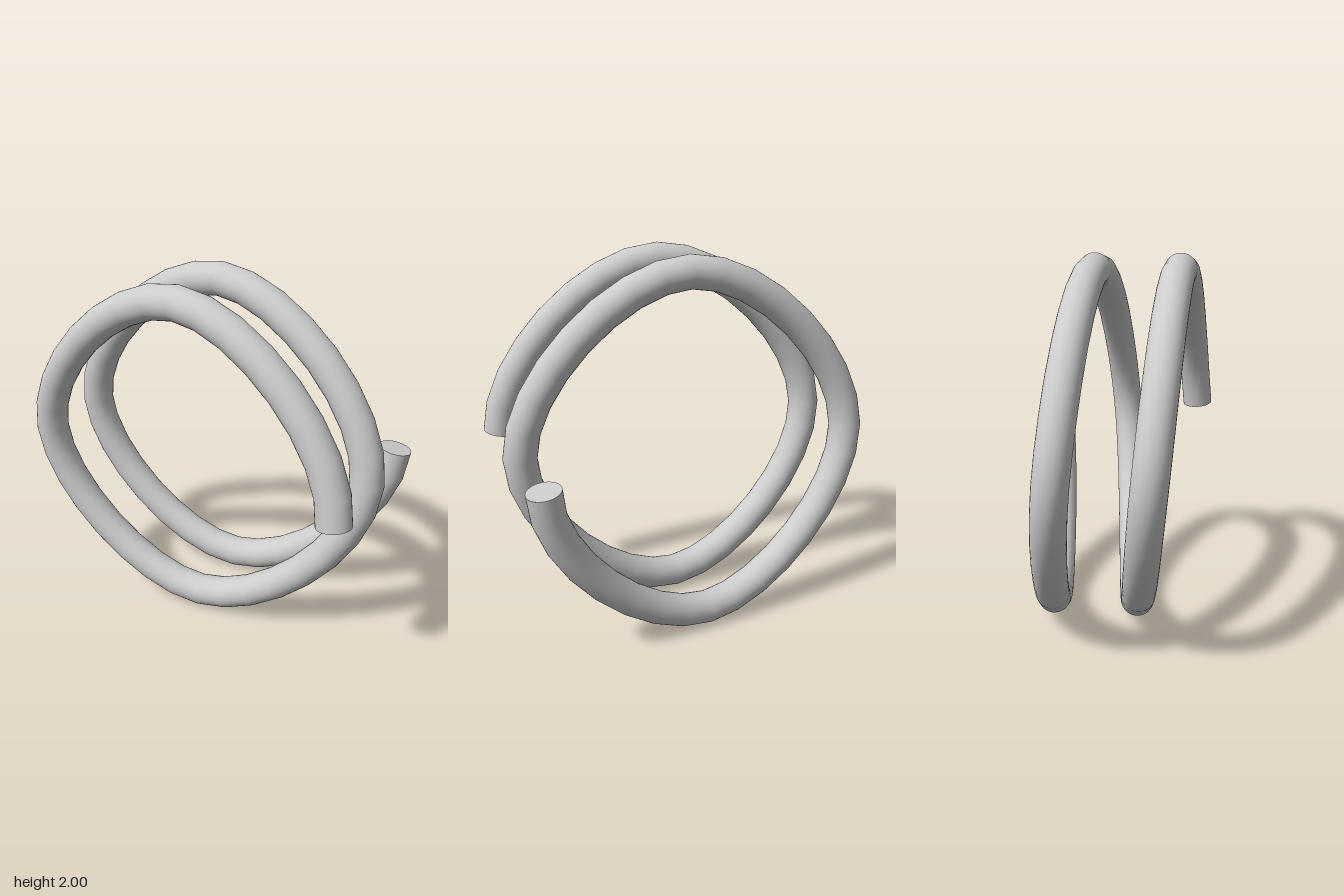
import * as THREE from 'three';

const RADIUS = 0.911, WIRE = 0.089, DEPTH = 0.905, QUARTERS = 8, STEPS = 8;
const HANDLE = 0.435; // length of the curve handles, a little flatter than a circle
const SEGMENTS = QUARTERS * STEPS;

// Two turns, each of four cubic quarter arcs, running from front to back
class CoilCurve extends THREE.Curve {
  getPoint(u, target = new THREE.Vector3()) {
    const q = Math.min(Math.floor(u * QUARTERS), QUARTERS - 1);
    const t = u * QUARTERS - q, s = 1 - t;
    const a = s * s * s + 3 * s * s * t + 3 * s * t * t * HANDLE;
    const b = t * t * t + 3 * t * t * s + 3 * t * s * s * HANDLE;
    const c = [1, 0, -1, 0][q % 4], d = [0, 1, 0, -1][q % 4];
    return target.set(
      RADIUS * (a * c - b * d),
      1 + RADIUS * (a * d + b * c),
      DEPTH * (0.5 - u)
    );
  }
  // Even steps within each arc instead of even arc length
  getPointAt(u, target) {
    return this.getPoint(u, target);
  }
  // Direction between neighbouring rings
  getTangentAt(u, target = new THREE.Vector3()) {
    const before = this.getPoint(Math.max(0, u - 1 / SEGMENTS));
    const after = this.getPoint(Math.min(1, u + 1 / SEGMENTS));
    return target.copy(after).sub(before).normalize();
  }
}

export function createModel() {
  const group = new THREE.Group();
  group.name = 'coilSpring';
  const steel = new THREE.MeshStandardMaterial({ color: 0xcccccc });
  steel.name = 'light grey';

  // Wire
  const curve = new CoilCurve();
  const wire = new THREE.Mesh(new THREE.TubeGeometry(curve, SEGMENTS, WIRE, 32, false), steel);
  wire.name = 'coilWire';
  group.add(wire);

  // Flat caps on both cut ends
  for (const [name, u, sign] of [['frontEndCap', 0, -1], ['backEndCap', 1, 1]]) {
    const cap = new THREE.Mesh(new THREE.CircleGeometry(WIRE, 32), steel);
    cap.name = name;
    cap.position.copy(curve.getPoint(u));
    const outward = curve.getTangentAt(u).multiplyScalar(sign);
    cap.quaternion.setFromUnitVectors(new THREE.Vector3(0, 0, 1), outward);
    group.add(cap);
  }
  return group;
}
